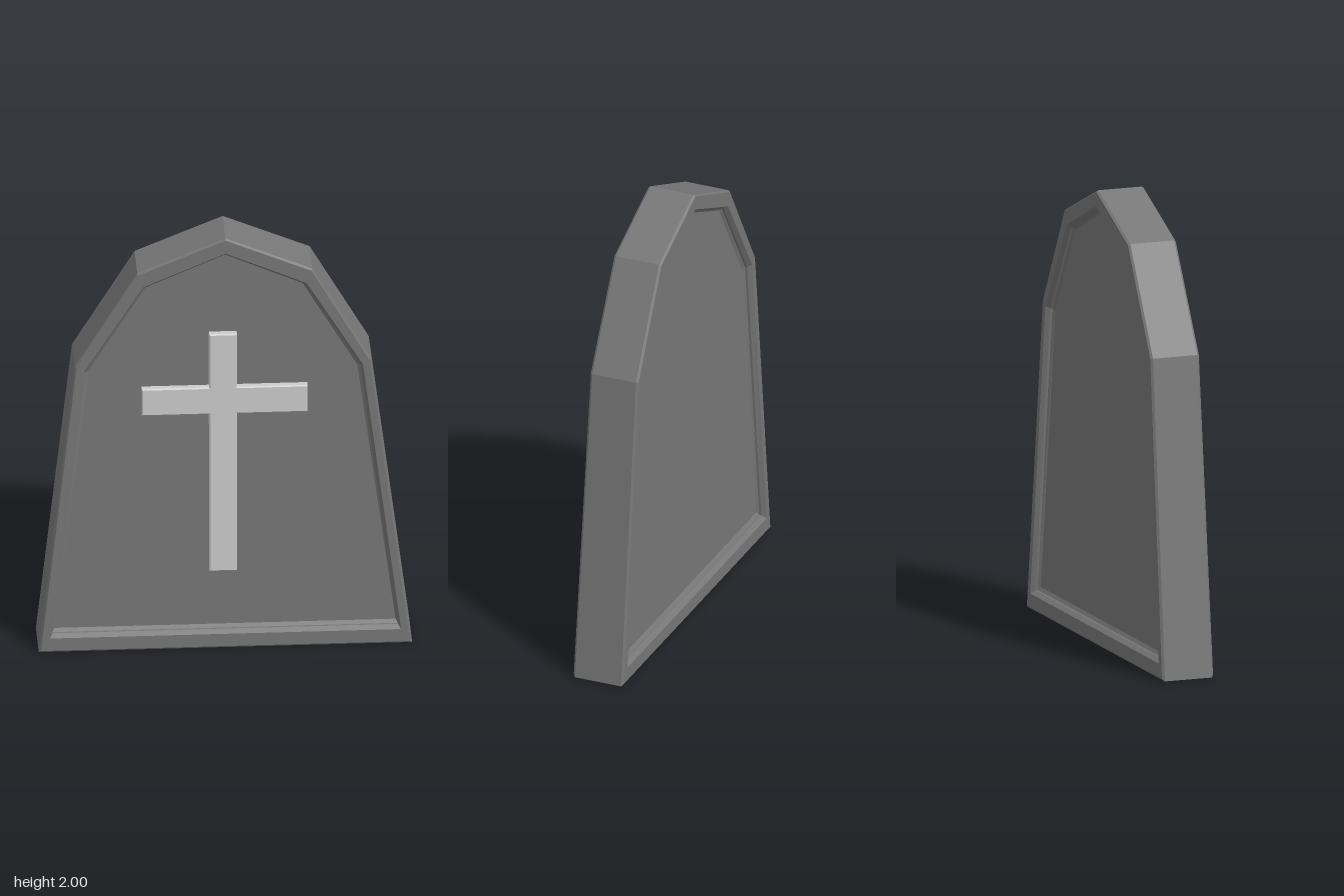
import * as THREE from 'three';

// Outlines run counter-clockwise from the lower +x corner over the peak
const OUTER = [[0.805, 0], [0.63, 1.39], [0.375, 1.84], [0, 2], [-0.38, 1.84], [-0.65, 1.39], [-0.805, 0]];
const RIM = [[0.757, 0.07], [0.593, 1.37], [0.35, 1.775], [0, 1.93], [-0.355, 1.775], [-0.61, 1.37], [-0.757, 0.07]];
const STEP = [[0.745, 0.085], [0.582, 1.36], [0.342, 1.765], [0, 1.917], [-0.347, 1.765], [-0.599, 1.36], [-0.745, 0.085]];
const PANEL = [[0.735, 0.1], [0.57, 1.35], [0.335, 1.755], [0, 1.905], [-0.34, 1.755], [-0.588, 1.35], [-0.735, 0.1]];

// The slab is a little thinner towards the top
const ring = (outline, z) => outline.map(([x, y]) => new THREE.Vector3(x, y, z * (1 - 0.035 * y)));

function slabGeometry() {
  const bevel = OUTER.map(([x, y]) => [x * 0.988, 0.01 + y * 0.9915]);
  const half = [[PANEL, 0.078], [STEP, 0.088], [STEP, 0.098], [RIM, 0.118], [bevel, 0.118], [OUTER, 0.108]];
  const rings = [
    ...half.map(([o, z]) => ring(o, z)),
    ...half.slice().reverse().map(([o, z]) => ring(o, -z)),
  ];
  const pos = [];
  const tri = (...pts) => pts.forEach((p) => pos.push(p.x, p.y, p.z));
  const n = OUTER.length;
  const first = rings[0], last = rings[rings.length - 1];
  const centre = (r) => r.reduce((s, p) => s.add(p), new THREE.Vector3()).divideScalar(n);
  const cf = centre(first), cb = centre(last);
  for (let i = 0; i < n; i++) {
    const j = (i + 1) % n;
    // walls between consecutive rings
    for (let k = 0; k < rings.length - 1; k++) {
      const a = rings[k], b = rings[k + 1];
      tri(a[i], b[i], b[j]);
      tri(a[i], b[j], a[j]);
    }
    // recessed front and back panels
    tri(cf, first[i], first[j]);
    tri(cb, last[j], last[i]);
  }
  const g = new THREE.BufferGeometry();
  g.setAttribute('position', new THREE.Float32BufferAttribute(pos, 3));
  g.computeVertexNormals();
  return g;
}

function crossGeometry() {
  const b = 0.005; // bevel
  const [l, r, bottom, top] = [-0.07 + b, 0.05 - b, 0.37 + b, 1.53 - b];
  const [al, ar, ab, at] = [-0.36 + b, 0.355 - b, 1.14 + b, 1.27 - b];
  const shape = new THREE.Shape([
    [l, bottom], [r, bottom], [r, ab], [ar, ab], [ar, at], [r, at],
    [r, top], [l, top], [l, at], [al, at], [al, ab], [l, ab],
  ].map(([x, y]) => new THREE.Vector2(x, y)));
  return new THREE.ExtrudeGeometry(shape, {
    depth: 0.035, bevelEnabled: true, bevelSize: b, bevelThickness: b, bevelSegments: 1,
  });
}

export function createModel() {
  const group = new THREE.Group();
  group.name = 'gravestone';

  // Stone slab with a raised frame on both faces
  const slab = new THREE.Mesh(slabGeometry(), new THREE.MeshStandardMaterial({ color: 0x777777, flatShading: true }));
  slab.name = 'slab';

  // Raised cross on the front panel
  const cross = new THREE.Mesh(crossGeometry(), new THREE.MeshStandardMaterial({ color: 0xcccccc, flatShading: true }));
  cross.name = 'cross';
  cross.position.z = 0.064;

  group.add(slab, cross);
  return group;
}
